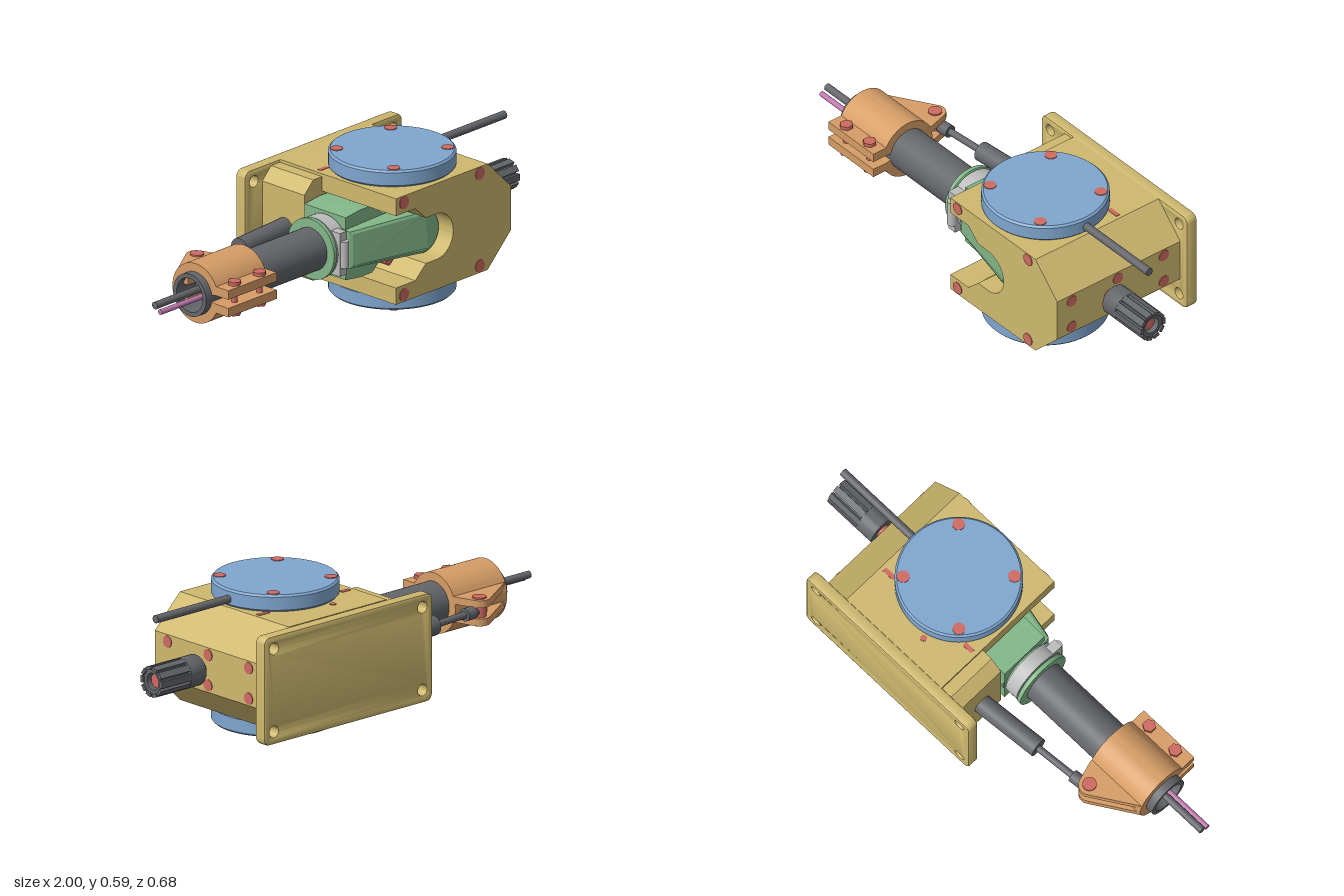
import * as THREE from 'three';
import { toCreasedNormals } from 'three/addons/utils/BufferGeometryUtils.js';

const mat = (name, color) => {
  const m = new THREE.MeshStandardMaterial({ color });
  m.name = name;
  return m;
};

export function createModel() {
  const root = new THREE.Group();
  const sand = mat('sand', 0xcfb96f), blue = mat('blue', 0x7fa6cf), green = mat('green', 0x82b788);
  const orange = mat('orange', 0xd69d66), dark = mat('dark grey', 0x64666b), red = mat('red', 0xcf6a62);
  const silver = mat('silver', 0xbcbcbc), pink = mat('pink', 0xc079ae);
  const CY = 0.29, CZ = 0.07; // main shaft axis

  const add = (name, geo, material, x = 0, y = 0, z = 0) => {
    const m = new THREE.Mesh(geo, material);
    m.name = name;
    m.position.set(x, y, z);
    root.add(m);
    return m;
  };
  const box = (name, m, x0, x1, y0, y1, z0, z1) =>
    add(name, new THREE.BoxGeometry(x1 - x0, y1 - y0, z1 - z0), m, (x0 + x1) / 2, (y0 + y1) / 2, (z0 + z1) / 2);
  // solid of revolution around the x axis, profile as [radius, x]
  const turned = (name, m, pts, y = CY, z = CZ) => {
    const g = new THREE.LatheGeometry(pts.map(p => new THREE.Vector2(...p)), 40);
    return add(name, toCreasedNormals(g.rotateZ(-Math.PI / 2), 0.6), m, 0, y, z);
  };
  // cylinder between two points
  const rod = (name, m, a, b, r, sides = 20) => {
    const A = new THREE.Vector3(...a), B = new THREE.Vector3(...b), d = B.clone().sub(A);
    const o = add(name, new THREE.CylinderGeometry(r, r, d.length(), sides), m);
    o.position.copy(A.add(B).multiplyScalar(0.5));
    o.quaternion.setFromUnitVectors(new THREE.Vector3(0, 1, 0), d.normalize());
    return o;
  };
  // xy outline extruded from z0 to z1
  const slab = (name, m, shape, z0, z1, bevel = 0) => {
    const g = new THREE.ExtrudeGeometry(shape, {
      depth: z1 - z0 - 2 * bevel, bevelEnabled: bevel > 0, bevelSize: bevel, bevelOffset: -bevel,
      bevelThickness: bevel, bevelSegments: 2, curveSegments: 16 });
    return add(name, toCreasedNormals(g, 0.6), m, 0, 0, z0 + bevel);
  };
  const poly = pts => new THREE.Shape(pts.map(p => new THREE.Vector2(...p)));

  // mounting plate with four through holes
  const plate = new THREE.Shape();
  const [x0, x1, y0, y1, r] = [-0.117, 0.775, 0.07, 0.512, 0.03];
  plate.absarc(x1 - r, y0 + r, r, -Math.PI / 2, 0);
  plate.absarc(x1 - r, y1 - r, r, 0, Math.PI / 2);
  plate.absarc(x0 + r, y1 - r, r, Math.PI / 2, Math.PI);
  plate.absarc(x0 + r, y0 + r, r, Math.PI, Math.PI * 1.5);
  for (const x of [-0.065, 0.722]) for (const y of [0.122, 0.46]) {
    const h = new THREE.Path();
    h.absarc(x, y, 0.022, 0, Math.PI * 2, true);
    plate.holes.push(h);
  }
  slab('mountingPlate', sand, plate, -0.337, -0.285, 0.008);

  // housing: slotted front section, solid rear section, side bracket
  const outer = [[0.08, 0.07], [0.60, 0.07], [0.733, 0.20], [0.733, 0.382], [0.60, 0.512], [0.08, 0.512]];
  const front = poly(outer);
  front.lineTo(0.08, 0.44);
  front.lineTo(0.19, 0.44);
  front.lineTo(0.25, 0.385);
  front.lineTo(0.31, 0.385);
  front.absarc(0.31, CY, 0.095, Math.PI / 2, -Math.PI / 2, true);
  front.lineTo(0.25, 0.195);
  front.lineTo(0.19, 0.14);
  front.lineTo(0.08, 0.14);
  slab('housingFront', sand, front, -0.06, 0.335);
  slab('housingRear', sand, poly(outer), -0.287, -0.06);
  slab('sideBracket', sand, poly([[0.08, 0.08], [0.08, 0.5], [0.03, 0.5], [-0.02, 0.45], [-0.02, 0.13], [0.03, 0.08]]), -0.287, -0.06);

  // housing screws
  for (const x of [0.125, 0.555]) for (const y of [0.10, 0.485])
    rod('frontScrew', red, [x, y, 0.32], [x, y, 0.338], 0.026);
  for (const z of [0.262, 0.03, -0.202]) for (const y of [0.229, 0.353])
    rod('sideScrew', red, [0.72, y, z], [0.736, y, z], 0.024);
  rod('topScrew', red, [0.275, 0.5, -0.19], [0.275, 0.515, -0.19], 0.013);
  for (const [a, b] of [[0.1, 0.145], [0.53, 0.585]]) box('topInsert', red, a, b, 0.505, 0.514, -0.104, -0.085);

  // round covers above and below, with screws
  for (const [y, out] of [[0.512, 0.58], [0, 0]]) {
    const p = [[0, 0], [0.242, 0], [0.25, 0.008], [0.25, 0.061], [0.242, 0.069], [0, 0.069]];
    const g = new THREE.LatheGeometry(p.map(q => new THREE.Vector2(...q)), 64);
    add('roundCover', toCreasedNormals(g, 0.5), blue, 0.34, y, CZ);
    for (const x of [0.187, 0.493]) for (const z of [-0.083, 0.223])
      rod('coverScrew', red, [x, out - 0.004, z], [x, out + 0.004, z], 0.025);
  }
  rod('coverCable', dark, [0.56, 0.541, CZ], [0.975, 0.541, CZ], 0.0165);

  // ribbed connector
  rod('connectorStem', red, [0.72, CY, CZ], [0.97, CY, CZ], 0.03);
  turned('connectorSleeve', dark, [[0.03, 0.76], [0.06, 0.76], [0.063, 0.765], [0.063, 0.84], [0.053, 0.845],
    [0.053, 0.99], [0.034, 0.99], [0.034, 0.95], [0.0, 0.95]]);
  for (let i = 0; i < 10; i++) {
    const a = (i + 0.5) / 10 * Math.PI * 2;
    const rib = add('connectorRib', new THREE.BoxGeometry(0.16, 0.014, 0.027), dark,
      0.918, CY + 0.055 * Math.cos(a), CZ + 0.055 * Math.sin(a));
    rib.rotation.x = a;
  }

  // green swing arm: collar, shoulder block and sloping round-nosed cover
  turned('armCollar', green, [[0.085, -0.122], [0.125, -0.122], [0.125, -0.105], [0.112, -0.1], [0.112, -0.03],
    [0.125, -0.025], [0.125, 0.02], [0, 0.02]]);
  slab('armShoulder', green, poly([[-0.03, 0.16], [0.05, 0.15], [0.12, 0.15], [0.18, 0.2], [0.3, 0.21], [0.3, 0.37],
    [0.18, 0.38], [0.12, 0.43], [0.05, 0.43], [-0.03, 0.42]]), -0.05, 0.17);
  const nose = new THREE.Shape();
  nose.moveTo(-0.035, 0.21);
  nose.lineTo(0.31, 0.2);
  nose.absarc(0.31, CY, 0.09, -Math.PI / 2, Math.PI / 2);
  nose.lineTo(-0.035, 0.37);
  const cover = slab('armCover', green, nose, 0, 0.195, 0.015);
  const pos = cover.geometry.attributes.position;
  for (let i = 0; i < pos.count; i++)
    if (pos.getZ(i) > 0.1) pos.setZ(i, pos.getZ(i) + 0.075 * Math.min(1, Math.max(0, (pos.getX(i) + 0.035) / 0.25)));
  cover.geometry.computeVertexNormals();
  for (const y of [0.18, 0.40]) rod('armScrew', red, [0.21, y, 0], [0.21, y, 0.18], 0.022);

  // hose clamp on the collar
  turned('hoseClamp', silver, [[0.11, -0.098], [0.122, -0.098], [0.122, -0.038], [0.11, -0.038]]);
  box('hoseClampLock', silver, -0.095, -0.055, 0.2, 0.38, 0.15, 0.2);
  rod('hoseClampScrew', silver, [-0.072, 0.235, 0.2], [-0.072, 0.345, 0.2], 0.02);

  // hollow tube and cables
  turned('tube', dark, [[0.07, -0.808], [0.088, -0.808], [0.088, -0.1], [0, -0.1], [0, -0.7], [0.07, -0.7], [0.07, -0.808]]);
  rod('tubeCable', dark, [-1, 0.299, 0.065], [-0.69, 0.299, 0.065], 0.015);
  rod('thinCable', pink, [-1, 0.279, 0.093], [-0.69, 0.279, 0.093], 0.011);

  // split clamp ring, opening towards the front
  const ring = new THREE.Shape(), gap = 0.16;
  ring.absarc(0, 0, 0.123, gap, Math.PI * 2 - gap);
  ring.absarc(0, 0, 0.087, Math.PI * 2 - gap, gap, true);
  const ringGeo = new THREE.ExtrudeGeometry(ring, { depth: 0.275, bevelEnabled: false, curveSegments: 40 });
  add('clampRing', toCreasedNormals(ringGeo.rotateY(-Math.PI / 2), 0.5), orange, -0.5, CY, CZ);
  for (const s of [-1, 1]) {
    const e = [CY + s * 0.018, CY + s * 0.055].sort();
    box('clampFlange', orange, -0.775, -0.5, e[0], e[1], 0.155, 0.245);
    for (const x of [-0.705, -0.563])
      rod('clampBolt', red, [x, CY + s * 0.05, 0.212], [x, CY + s * 0.07, 0.212], 0.027, 6);
  }
  for (const x of [-0.705, -0.563]) rod('clampBoltShank', red, [x, 0.25, 0.212], [x, 0.33, 0.212], 0.012);

  // clevis ears behind the clamp (outline drawn in x and -z)
  const ear = new THREE.Shape();
  ear.moveTo(-0.775, 0.04);
  ear.lineTo(-0.775, -0.03);
  ear.lineTo(-0.5, -0.03);
  ear.lineTo(-0.5, 0.05);
  ear.absarc(-0.565, 0.122, 0.042, 0.2, 2.2);
  const earGeo = new THREE.ExtrudeGeometry(ear, { depth: 0.03, bevelEnabled: false }).rotateX(-Math.PI / 2);
  for (const y of [CY + 0.022, CY - 0.052]) add('clevisEar', toCreasedNormals(earGeo, 0.6), orange, 0, y, 0);
  rod('clevisPin', red, [-0.565, CY - 0.058, -0.12], [-0.565, CY + 0.058, -0.12], 0.028);

  // linear actuator
  rod('actuatorBody', dark, [-0.01, CY, -0.165], [-0.305, CY, -0.14], 0.04);
  rod('actuatorRod', dark, [-0.29, CY, -0.142], [-0.5, CY, -0.125], 0.014);
  rod('actuatorEnd', dark, [-0.48, CY, -0.127], [-0.53, CY, -0.122], 0.026);
  rod('actuatorEye', dark, [-0.52, CY, -0.123], [-0.59, CY, -0.118], 0.02);
  return root;
}
